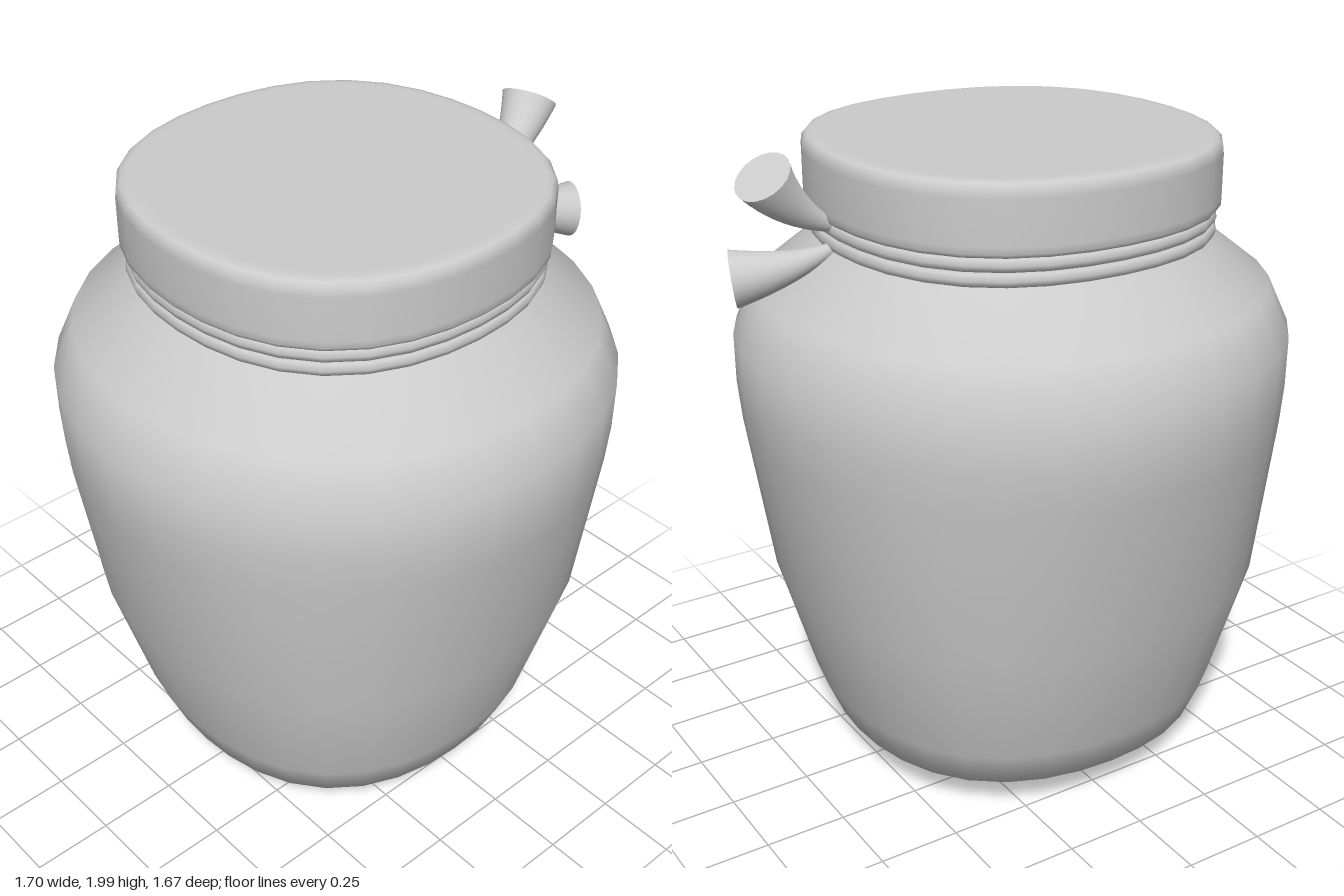
import * as THREE from 'three';
import { mergeVertices } from 'three/addons/utils/BufferGeometryUtils.js';

const CENTER_X = -0.015;
const material = new THREE.MeshStandardMaterial({ color: 0xcccccc, roughness: 0.8 });

// Pushes the diagonals of a round shape outward and rebuilds seamless smooth normals.
function squareOff(geometry, amountAt) {
  const p = geometry.attributes.position;
  for (let i = 0; i < p.count; i++) {
    const x = p.getX(i), z = p.getZ(i);
    const s = 1 + amountAt(p.getY(i)) * (1 - Math.cos(4 * Math.atan2(z, x))) / 2;
    p.setX(i, x * s);
    p.setZ(i, z * s);
  }
  geometry.deleteAttribute('uv');
  geometry.deleteAttribute('normal');
  const merged = mergeVertices(geometry, 1e-4);
  merged.computeVertexNormals();
  return merged;
}

function lathe(profile) {
  return new THREE.LatheGeometry(profile.map(([r, y]) => new THREE.Vector2(r, y)), 32);
}

function addMesh(parent, geometry, name) {
  const mesh = new THREE.Mesh(geometry, material);
  mesh.name = name;
  parent.add(mesh);
  return mesh;
}

// A cord end: a curved tube flaring from a thin root to a flat round tip.
function cordEnd(name, root, bend, tip) {
  const group = new THREE.Group();
  group.name = name;
  const curve = new THREE.QuadraticBezierCurve3(
    new THREE.Vector3(...root), new THREE.Vector3(...bend), new THREE.Vector3(...tip));
  const rows = 10, sides = 20, rootRadius = 0.018, tipRadius = 0.085;
  const tube = new THREE.TubeGeometry(curve, rows, 1, sides);
  const p = tube.attributes.position, v = new THREE.Vector3();
  for (let i = 0; i < p.count; i++) {
    const t = Math.floor(i / (sides + 1)) / rows;
    const c = curve.getPointAt(t);
    v.fromBufferAttribute(p, i).sub(c).multiplyScalar(THREE.MathUtils.lerp(rootRadius, tipRadius, t)).add(c);
    p.setXYZ(i, v.x, v.y, v.z);
  }
  addMesh(group, tube, 'flaredCord');
  const cap = addMesh(group, new THREE.CircleGeometry(tipRadius, sides), 'cordTip');
  cap.position.set(...tip);
  cap.quaternion.setFromUnitVectors(new THREE.Vector3(0, 0, 1), curve.getTangentAt(1));
  return group;
}

export function createModel() {
  const model = new THREE.Group();
  model.name = 'jar';
  const vessel = new THREE.Group();
  vessel.name = 'vessel';
  vessel.position.x = CENTER_X;
  model.add(vessel);

  // Jar body: squarish at the foot and neck, round at the shoulder
  const body = lathe([
    [0, 0], [0.24, 0.003], [0.46, 0.05], [0.575, 0.11], [0.625, 0.23], [0.735, 0.62],
    [0.825, 1.12], [0.837, 1.24], [0.836, 1.39], [0.765, 1.53], [0.57, 1.68], [0.55, 1.72], [0.55, 1.8],
  ]);
  addMesh(vessel, squareOff(body, (y) => 0.045 * Math.min(1, Math.abs(y - 1.25) / 0.5) ** 2), 'body');

  // Lid with a small rounded rim
  const lid = lathe([
    [0.5, 1.767], [0.57, 1.767], [0.585, 1.769], [0.592, 1.78], [0.593, 1.8], [0.593, 1.93],
    [0.59, 1.955], [0.578, 1.969], [0.562, 1.973], [0.54, 1.974], [0, 1.974],
  ]);
  addMesh(vessel, squareOff(lid, () => 0.045), 'lid');

  // Two turns of cord around the neck
  [1.702, 1.744].forEach((y, i) => {
    const ring = new THREE.TorusGeometry(0.558, 0.024, 8, 32).rotateX(Math.PI / 2).translate(0, y, 0);
    addMesh(vessel, squareOff(ring, () => 0.045), 'neckCord' + (i + 1));
  });

  // Loose ends of the cord on the left side
  model.add(cordEnd('upperCordEnd', [0.55, 1.755, 0.06], [0.69, 1.82, 0.03], [0.78, 1.942, -0.005]));
  model.add(cordEnd('lowerCordEnd', [0.55, 1.685, 0.065], [0.66, 1.635, 0.09], [0.815, 1.615, 0.16]));
  return model;
}
